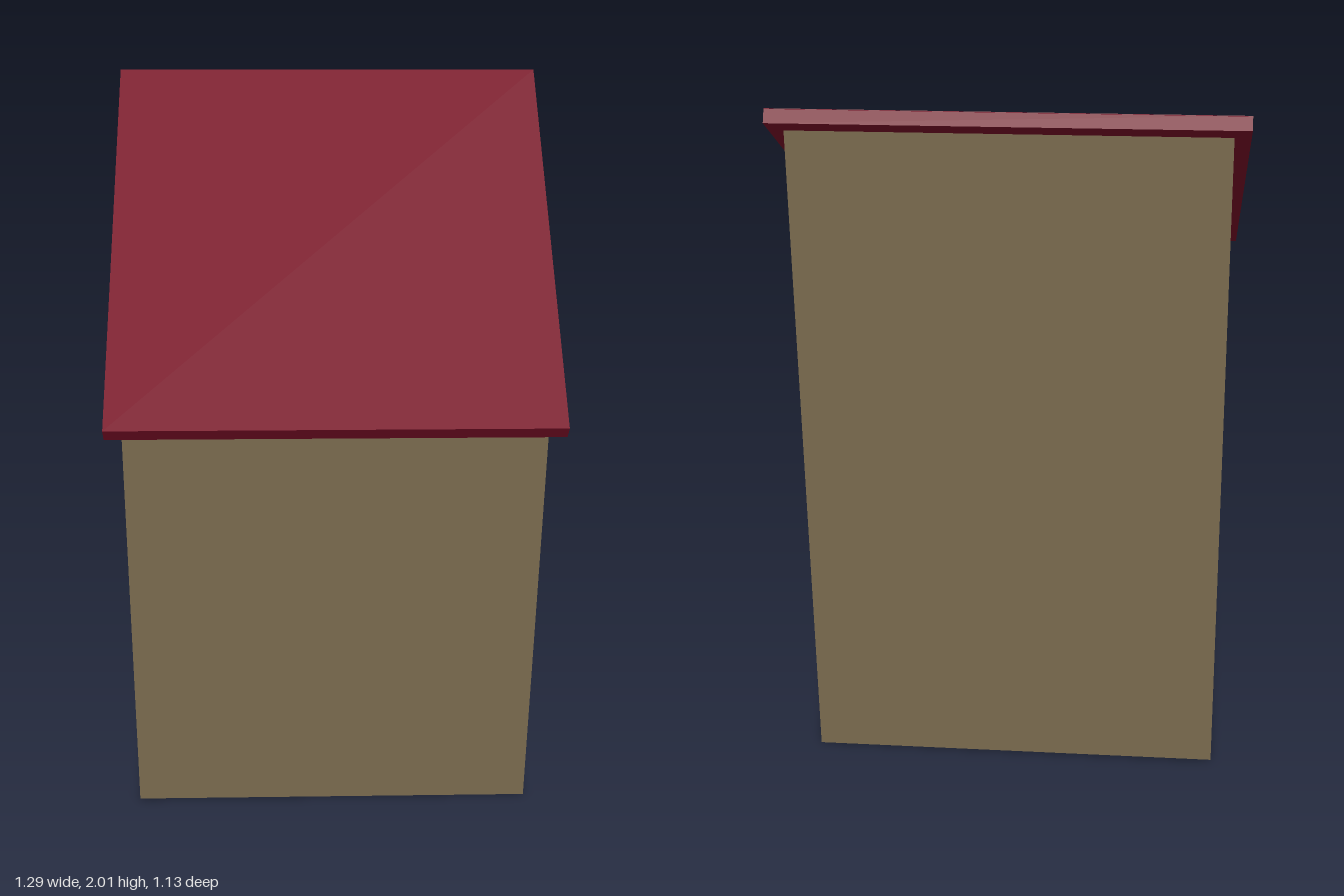
import * as THREE from 'three';

const HALF = 0.595;   // half the width of the house
const DEPTH = 0.075;  // depth of window and door recesses
const paint = (color) => new THREE.MeshStandardMaterial({ color, side: THREE.DoubleSide, flatShading: true });
const wallMat = paint(0x796a4e), redMat = paint(0x780e26), glassMat = paint(0xcccccc);

// Outlines are [u, y] points, counter-clockwise, with u running towards the back (u = -z).
const profile = [[-0.5, 0], [0.525, 0], [0.525, 1.935], [-0.5, 1.31]];
const roofProfile = [[-0.545, 1.285], [0.565, 1.965], [0.545, 2.0], [-0.57, 1.325]];
const box = (u0, u1, y0, y1) => [[u0, y0], [u1, y0], [u1, y1], [u0, y1]];

// Each opening has an outer outline and, where the recess tapers, an inner one.
const windows = [
  { outer: box(-0.38, -0.19, 0.43, 0.68) },
  { outer: [[-0.06, 0.43], [0.135, 0.435], [0.13, 0.695], [-0.06, 0.69]] },
  { outer: box(0.26, 0.425, 0.43, 0.68) },
  { outer: box(-0.4, -0.19, 0.905, 1.16) },
  { outer: box(-0.075, 0.115, 0.905, 1.16) },
  { outer: [[0.235, 0.905], [0.425, 0.905], [0.425, 1.165], [0.22, 1.16]] },
  { outer: box(-0.08, 0.115, 1.375, 1.44), inner: [[-0.08, 1.375], [0.115, 1.405], [0.115, 1.415], [-0.08, 1.437]] },
  { outer: box(0.215, 0.425, 1.375, 1.44), inner: [[0.215, 1.395], [0.425, 1.375], [0.425, 1.437], [0.215, 1.4]] },
  { outer: box(0.23, 0.425, 1.57, 1.65) },
];
const doors = [
  { outer: [[-0.275, 0], [-0.085, 0], [-0.09, 0.35], [-0.265, 0.355]] },
  {
    outer: [[0.1, 0], [0.28, 0], [0.28, 0.34], [0.23, 0.385], [0.1, 0.345]],
    inner: [[0.1, 0], [0.28, 0], [0.28, 0.33], [0.23, 0.358], [0.1, 0.342]],
  },
];

const toShape = (pts) => new THREE.Shape(pts.map(([u, y]) => new THREE.Vector2(u, y)));

function add(parent, name, geometry, material) {
  const mesh = new THREE.Mesh(geometry, material);
  mesh.name = name;
  parent.add(mesh);
  return mesh;
}

// Flat face lying across the x axis
function face(shape, x) {
  return new THREE.ShapeGeometry(shape).rotateY(Math.PI / 2).translate(x, 0, 0);
}

// Strip of quads joining outline a at x = xa to outline b at x = xb
function strip(a, xa, b, xb, skipFirst = false) {
  const pos = [];
  for (let i = skipFirst ? 1 : 0; i < a.length; i++) {
    const j = (i + 1) % a.length;
    const p = [xa, a[i][1], -a[i][0]], q = [xa, a[j][1], -a[j][0]];
    const r = [xb, b[j][1], -b[j][0]], s = [xb, b[i][1], -b[i][0]];
    pos.push(...p, ...q, ...r, ...p, ...r, ...s);
  }
  const g = new THREE.BufferGeometry();
  g.setAttribute('position', new THREE.Float32BufferAttribute(pos, 3));
  g.computeVertexNormals();
  return g;
}

// Side wall with recessed windows and doors
function sideWall(name) {
  const side = new THREE.Group();
  side.name = name;
  // doors are notches in the lower edge
  const outline = [profile[0]];
  for (const { outer } of doors) outline.push(outer[0], ...outer.slice(2).reverse(), outer[1]);
  outline.push(...profile.slice(1));
  const shape = toShape(outline);
  for (const { outer } of windows) shape.holes.push(toShape(outer));
  add(side, 'sideWallFace', face(shape, HALF), wallMat);

  const opening = (part, { outer, inner = outer }, mat, open) => {
    add(side, part + 'Reveal', strip(inner, HALF - DEPTH, outer, HALF, open), wallMat);
    add(side, part + 'Panel', face(toShape(inner), HALF - DEPTH), mat);
  };
  windows.forEach((w) => opening('window', w, glassMat, false));
  doors.forEach((d) => opening('door', d, redMat, true));
  return side;
}

export function createModel() {
  const model = new THREE.Group();
  model.name = 'house';
  const house = new THREE.Group();
  house.name = 'building';
  model.add(house);

  // Front, back, floor and ceiling
  add(house, 'outerWalls', strip(profile, HALF, profile, -HALF), wallMat);

  // Two matching side walls
  const left = sideWall('leftSide'), right = sideWall('rightSide');
  right.scale.x = -1;
  house.add(left, right);

  // Sloping roof slab with overhang
  const roof = new THREE.ExtrudeGeometry(toShape(roofProfile), { depth: 1.28, bevelEnabled: false });
  roof.translate(0, 0, -0.64).rotateY(Math.PI / 2);
  add(house, 'roof', roof, redMat);

  // The house leans very slightly to one side
  house.rotation.z = -0.008;
  house.position.set(-0.006, 0.005, 0);
  add(house, 'roofRidgeEdge', new THREE.BoxGeometry(1.28, 0.002, 0.002).translate(0, 1.998, -0.545), redMat);
  return model;
}
